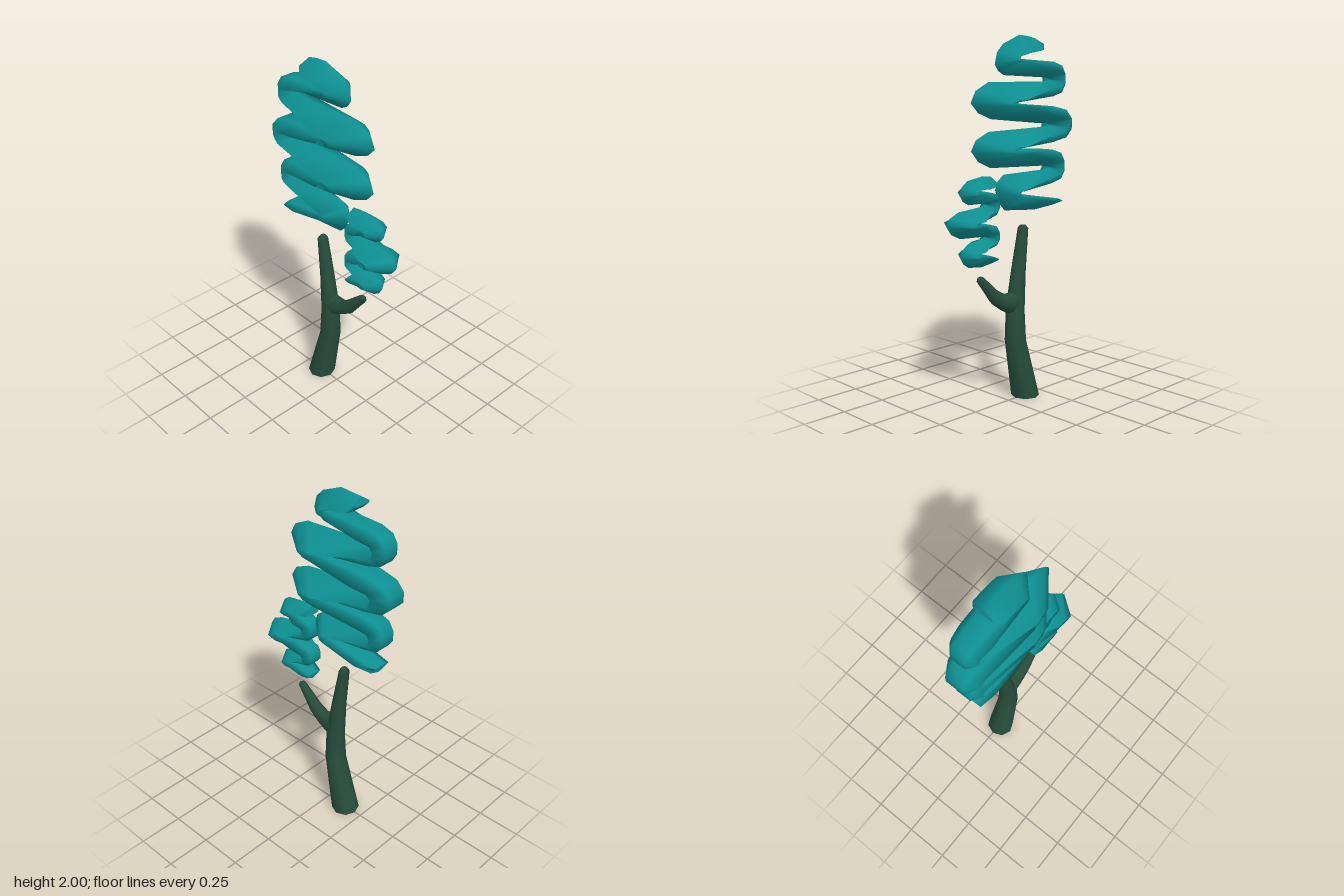
import * as THREE from 'three';

// Cross-sections: [position from edge P to edge Q, share of the half depth]
const pentagon = side => [[0, 0], [side, 1], [1, 0.52], [1, -0.52], [side, -1]];
const round = () => Array.from({ length: 8 }, (_, i) => {
  const a = (i / 8) * Math.PI * 2;
  return [(1 - Math.cos(a)) / 2, Math.sin(a)];
});

// Lofts rings [px, py, qx, qy, halfDepth, side] with a cross-section and closes both ends
function loft(rings, section, name, material) {
  const n = section(0).length, pos = [], idx = [];
  const addRing = ([px, py, qx, qy, w, side = 0.42]) => {
    for (const [t, z] of section(side)) pos.push(px + (qx - px) * t, py + (qy - py) * t, z * w);
  };
  rings.forEach(addRing);
  for (let i = 0; i < rings.length - 1; i++) {
    for (let j = 0; j < n; j++) {
      const a = i * n + j, b = i * n + (j + 1) % n;
      idx.push(a, b, a + n, b, b + n, a + n);
    }
  }
  const start = rings.length * n, end = start + n;
  addRing(rings[0]);
  addRing(rings[rings.length - 1]);
  for (let j = 1; j < n - 1; j++) {
    idx.push(start, start + j + 1, start + j);
    idx.push(end, end + j, end + j + 1);
  }
  const geo = new THREE.BufferGeometry();
  geo.setAttribute('position', new THREE.Float32BufferAttribute(pos, 3));
  geo.setIndex(idx);
  geo.computeVertexNormals();
  const mesh = new THREE.Mesh(geo, material);
  mesh.name = name;
  return mesh;
}

// Pointed turn on the right of the zigzag; its side edges gather near the inner fold
function rightBend(x, top, bottom, tipY, gapX, gapY, w, tipW, side) {
  const len = x - gapX, g = 0.006, mid = (side + 0.85) / 2, midW = (w + tipW) / 2;
  return [
    [x - len * 0.45, top, gapX - len * 0.1, gapY + g, w, 0.85],
    [x - len * 0.12, tipY + (top - tipY) * 0.58, gapX, gapY + g * 0.5, midW, mid],
    [x, tipY, gapX, gapY, tipW, side],
    [x - len * 0.18, tipY + (bottom - tipY) * 0.6, gapX, gapY - g * 0.5, midW, mid],
    [x - len * 0.5, bottom, gapX - len * 0.1, gapY - g, w, 0.85],
  ];
}

// Blunt turn on the left of the zigzag
function leftBend(x, top, bottom, inX, inY, w) {
  const d = inX - x, g = (top - bottom) * 0.06;
  const half = (outer, s) => [
    [inX + d * 0.7, inY + g * s, x + d * 1.2, outer, w * 1.1],
    [inX + d * 0.08, inY + g * 0.6 * s, x + d * 0.33, inY + (outer - inY) * 0.78, w],
    [inX, inY + g * 0.2 * s, x, inY + (outer - inY) * 0.3, w],
  ];
  return [...half(top, 1), ...half(bottom, -1).reverse()];
}

export function createModel() {
  const group = new THREE.Group();
  const leaf = new THREE.MeshStandardMaterial({ color: 0x0e9092 });
  leaf.name = 'teal leaves';
  const bark = new THREE.MeshStandardMaterial({ color: 0x264d3a });
  bark.name = 'dark green bark';

  // Trunk and side branch
  group.add(loft([
    [-0.21, 0, -0.055, 0, 0.08],
    [-0.112, 0.34, 0.005, 0.34, 0.06],
    [-0.106, 0.5, 0.002, 0.53, 0.05],
    [-0.115, 0.72, -0.037, 0.73, 0.042],
    [-0.139, 0.96, -0.085, 0.965, 0.031],
    [-0.126, 0.98, -0.096, 0.98, 0.018],
  ], round, 'trunk', bark));
  group.add(loft([
    [-0.05, 0.62, -0.03, 0.49, 0.045],
    [-0.015, 0.618, 0.005, 0.5, 0.045],
    [0.035, 0.617, 0.06, 0.53, 0.04],
    [0.085, 0.645, 0.125, 0.575, 0.035],
    [0.185, 0.732, 0.228, 0.71, 0.022],
    [0.204, 0.74, 0.226, 0.728, 0.014],
  ], round, 'branch', bark));

  // Large zigzag crown
  group.add(loft([
    [-0.2, 1.985, -0.21, 1.945, 0.06, 0.8],
    [-0.15, 1.995, -0.18, 1.915, 0.088, 0.92],
    [-0.08, 2.0, -0.12, 1.905, 0.09, 0.9],
    ...rightBend(0.1, 1.95, 1.79, 1.845, -0.03, 1.88, 0.09, 0.09, 0.75),
    ...leftBend(-0.4, 1.862, 1.676, -0.315, 1.767, 0.085),
    ...rightBend(0.27, 1.755, 1.565, 1.65, -0.005, 1.647, 0.143, 0.13, 0.62),
    ...leftBend(-0.445, 1.623, 1.427, -0.31, 1.52, 0.105),
    ...rightBend(0.27, 1.5, 1.31, 1.405, -0.005, 1.403, 0.143, 0.13, 0.62),
    ...leftBend(-0.4, 1.385, 1.199, -0.31, 1.284, 0.085),
    ...rightBend(0.1, 1.268, 1.075, 1.19, -0.04, 1.164, 0.09, 0.09, 0.75),
    [-0.2, 1.055, -0.28, 1.118, 0.088, 0.75],
    [-0.35, 1.067, -0.36, 1.105, 0.07, 0.75],
  ], pentagon, 'largeCrown', leaf));

  // Small zigzag crown over the branch
  group.add(loft([
    [0.13, 1.265, 0.12, 1.215, 0.055, 0.8],
    [0.19, 1.272, 0.17, 1.205, 0.072, 0.85],
    ...rightBend(0.35, 1.255, 1.13, 1.185, 0.235, 1.2, 0.073, 0.075, 0.45),
    ...leftBend(0.1, 1.19, 1.05, 0.165, 1.12, 0.07),
    ...rightBend(0.443, 1.1, 0.96, 1.035, 0.26, 1.035, 0.1, 0.111, 0.45),
    ...leftBend(0.1, 1.02, 0.89, 0.165, 0.945, 0.07),
    ...rightBend(0.35, 0.925, 0.8, 0.86, 0.235, 0.87, 0.073, 0.075, 0.45),
    [0.2, 0.79, 0.165, 0.85, 0.072, 0.85],
    [0.125, 0.8, 0.12, 0.835, 0.055, 0.8],
  ], pentagon, 'smallCrown', leaf));

  return group;
}
